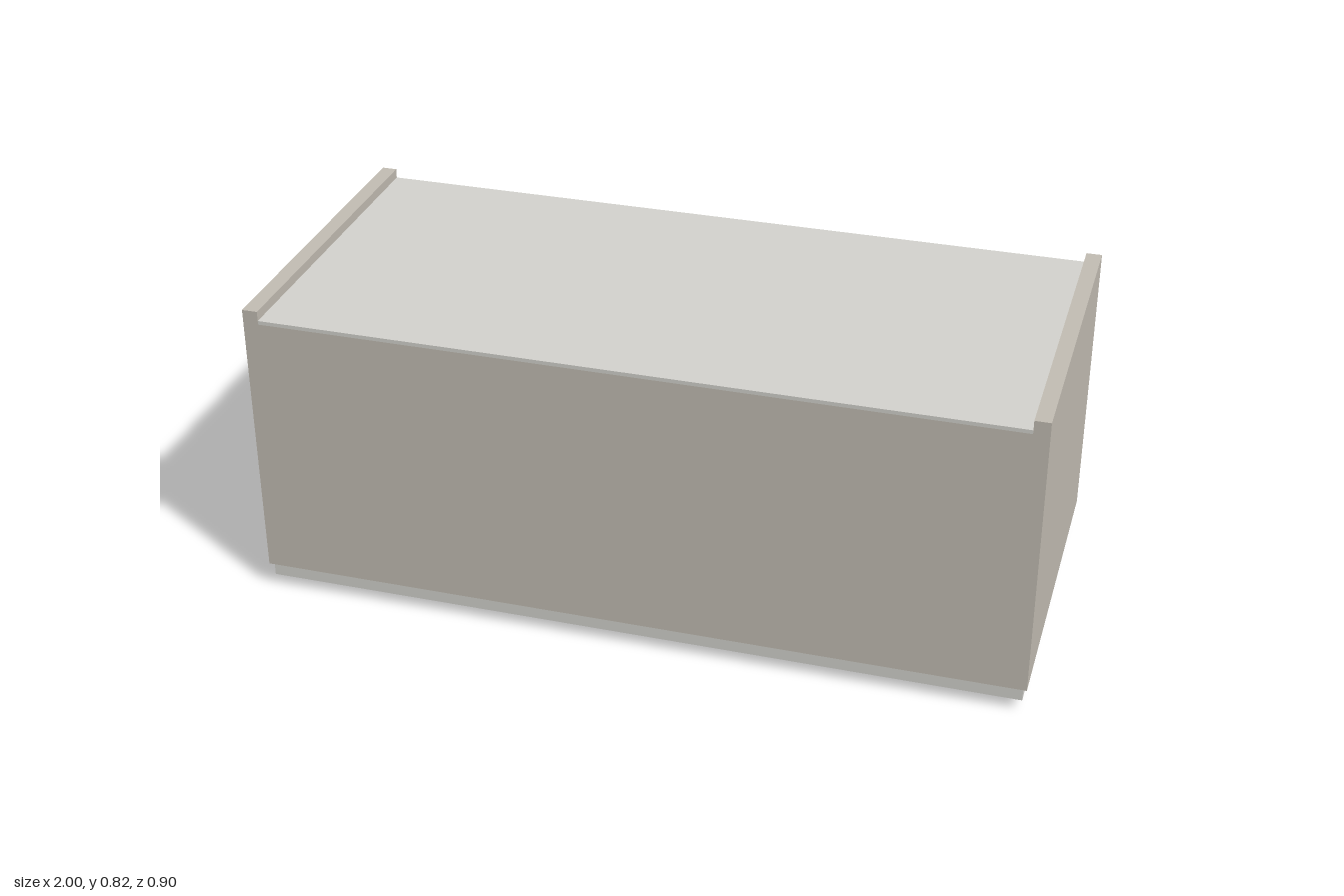
import * as THREE from 'three';

const paint = (color) => new THREE.MeshStandardMaterial({ color });
const BODY = paint(0xc4beb4), PANEL = paint(0xd5d4cf), METAL = paint(0x808080);

// Box given by its lower and upper corners
function box(name, material, [x0, y0, z0], [x1, y1, z1]) {
  const mesh = new THREE.Mesh(new THREE.BoxGeometry(x1 - x0, y1 - y0, z1 - z0), material);
  mesh.position.set((x0 + x1) / 2, (y0 + y1) / 2, (z0 + z1) / 2);
  mesh.name = name;
  return mesh;
}

function rectangle(path, w, d) {
  path.moveTo(-w, -d);
  path.lineTo(w, -d);
  path.lineTo(w, d);
  path.lineTo(-w, d);
  path.closePath();
  return path;
}

export function createModel() {
  const model = new THREE.Group();
  model.name = 'cabinet';

  // Hollow carcass: four walls around the cavity
  const ring = rectangle(new THREE.Shape(), 1, 0.45);
  ring.holes.push(rectangle(new THREE.Path(), 0.96, 0.41));
  const walls = new THREE.ExtrudeGeometry(ring, { depth: 0.715, bevelEnabled: false });
  walls.rotateX(-Math.PI / 2);
  const carcass = new THREE.Mesh(walls, BODY);
  carcass.position.y = 0.07;
  carcass.name = 'carcass';
  model.add(carcass);

  // Side walls rise past the thin back panel
  for (const [name, x] of [['rightSideLip', -1], ['leftSideLip', 0.96]]) {
    model.add(box(name, BODY, [x, 0.785, -0.45], [x + 0.04, 0.82, 0.45]));
  }
  model.add(box('backPanel', PANEL, [-0.96, 0.785, -0.45], [0.96, 0.795, 0.45]));

  // Door, slightly smaller than the carcass
  model.add(box('door', PANEL, [-0.99, 0.032, -0.44], [0.99, 0.07, 0.44]));

  // Bar handle with rounded outer corners
  const w = 0.12, r = 0.006;
  const outline = new THREE.Shape();
  outline.moveTo(-w, 0.034);
  outline.lineTo(-w, r);
  outline.quadraticCurveTo(-w, 0, -w + r, 0);
  outline.lineTo(w - r, 0);
  outline.quadraticCurveTo(w, 0, w, r);
  outline.lineTo(w, 0.034);
  outline.closePath();
  const handle = new THREE.Mesh(
    new THREE.ExtrudeGeometry(outline, { depth: 0.028, bevelEnabled: false, curveSegments: 6 }), METAL);
  handle.position.z = 0.242;
  handle.name = 'handle';
  model.add(handle);

  return model;
}
